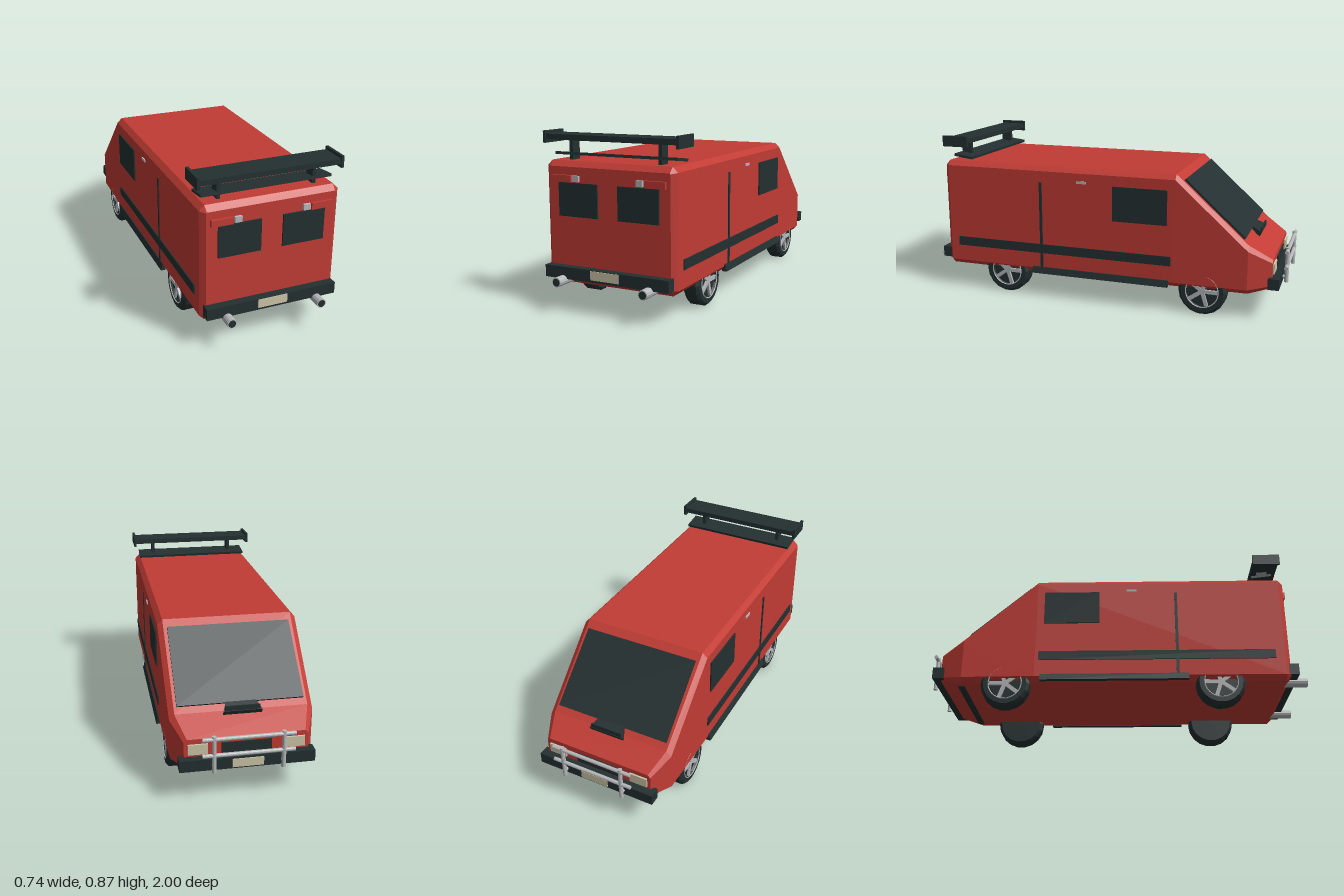
import * as THREE from 'three';

const mat = (name, color) => {
  const m = new THREE.MeshStandardMaterial({ color, flatShading: true });
  m.name = name;
  return m;
};

export function createModel() {
  const red = mat('red paint', 0xc23c35);
  const dark = mat('dark trim', 0x243031);
  const silver = mat('silver metal', 0xb6b8b9);
  const cream = mat('cream lamps and plates', 0xcfc7a8);
  const van = new THREE.Group();
  van.name = 'van';

  const add = (name, geo, material, x = 0, y = 0, z = 0, parent = van) => {
    const m = new THREE.Mesh(geo, material);
    m.name = name;
    m.position.set(x, y, z);
    parent.add(m);
    return m;
  };
  // Box given by its extents
  const box = (name, material, x0, x1, y0, y1, z0, z1) =>
    add(name, new THREE.BoxGeometry(x1 - x0, y1 - y0, z1 - z0), material,
      (x0 + x1) / 2, (y0 + y1) / 2, (z0 + z1) / 2);
  // The same box on both sides of the van
  const pair = (name, material, x0, x1, ...rest) => {
    box(name + 'Left', material, x0, x1, ...rest);
    box(name + 'Right', material, -x1, -x0, ...rest);
  };
  // Straight tube between two points
  const tube = (name, a, b, r, material = silver, sides = 12) => {
    const p = new THREE.Vector3(...a), q = new THREE.Vector3(...b);
    const m = add(name, new THREE.CylinderGeometry(r, r, p.distanceTo(q), sides), material);
    m.position.copy(p).add(q).multiplyScalar(0.5);
    m.quaternion.setFromUnitVectors(new THREE.Vector3(0, 1, 0), q.sub(p).normalize());
    return m;
  };

  // Body shell: chamfered cross-sections [z, half width, bottom, top, chamfer]
  const sections = [
    [0.9, 0.33, 0.16, 0.705, 0.004],
    [0.875, 0.355, 0.135, 0.732, 0.026],
    [-0.43, 0.355, 0.135, 0.732, 0.026],
    [-0.81, 0.35, 0.135, 0.39, 0.026],
    [-0.928, 0.298, 0.165, 0.315, 0.015],
  ];
  const pos = [], idx = [];
  for (const [z, w, b, t, c] of sections) {
    const ring = [[w, b + c], [w, t - c], [w - c, t], [c - w, t],
      [-w, t - c], [-w, b + c], [c - w, b], [w - c, b]];
    for (const [x, y] of ring) pos.push(x, y, z);
  }
  const last = (sections.length - 1) * 8;
  for (let s = 0; s < last; s += 8) {
    for (let i = 0; i < 8; i++) {
      const a = s + i, b = s + (i + 1) % 8;
      idx.push(a, a + 8, b, b, a + 8, b + 8);
    }
  }
  for (let i = 1; i < 7; i++) {
    idx.push(0, i, i + 1, last, last + i + 1, last + i);
  }
  const indexed = new THREE.BufferGeometry();
  indexed.setAttribute('position', new THREE.Float32BufferAttribute(pos, 3));
  indexed.setIndex(idx);
  const shell = indexed.toNonIndexed();
  shell.computeVertexNormals();
  add('body', shell, red);

  // Windscreen on the sloping front
  const slope = Math.atan2(0.342, 0.38);
  add('windscreen', new THREE.BoxGeometry(0.62, 0.016, 0.425), dark,
    0, 0.559, -0.627).rotation.x = -slope;

  // Bonnet scoop, wider toward the nose
  const scoop = new THREE.BoxGeometry(0.19, 0.024, 0.06);
  const sp = scoop.attributes.position;
  for (let i = 0; i < sp.count; i++) {
    if (sp.getZ(i) > 0) sp.setX(i, sp.getX(i) * 0.78);
  }
  scoop.computeVertexNormals();
  add('bonnetScoop', scoop, dark, 0, 0.402, -0.808).rotation.x = -0.45;
  box('scoopLip', dark, -0.085, 0.085, 0.398, 0.424, -0.838, -0.83);

  // Side windows, trim, handles and skirts
  pair('sideWindow', dark, 0.35, 0.362, 0.465, 0.65, -0.39, -0.095);
  pair('sideStripe', dark, 0.35, 0.361, 0.25, 0.3, -0.412, 0.825);
  pair('doorStrip', dark, 0.35, 0.36, 0.165, 0.645, 0.308, 0.323);
  pair('doorHandle', silver, 0.35, 0.361, 0.652, 0.665, 0.052, 0.105);
  for (const s of [1, -1]) {
    const profile = new THREE.Shape([[0.345, 0.135], [0.371, 0.135], [0.361, 0.17], [0.345, 0.17]]
      .map(([x, y]) => new THREE.Vector2(s * x, y)));
    add('sideSkirt', new THREE.ExtrudeGeometry(profile, { depth: 0.77, bevelEnabled: false }),
      dark, 0, 0, -0.4);
  }

  // Rear windows, lamps, bumper and plate
  pair('rearWindow', dark, 0.056, 0.273, 0.467, 0.63, 0.895, 0.909);
  pair('rearLamp', red, 0.2, 0.31, 0.632, 0.666, 0.89, 0.914);
  pair('reverseLamp', silver, 0.157, 0.193, 0.636, 0.665, 0.89, 0.914);
  box('rearBumper', dark, -0.34, 0.34, 0.166, 0.225, 0.885, 0.942);
  box('rearPlate', cream, -0.078, 0.076, 0.178, 0.222, 0.94, 0.946);

  // Exhaust pipes with dark openings
  for (const x of [-0.237, 0.237]) {
    tube('exhaust', [x, 0.16, 0.86], [x, 0.16, 0.998], 0.024);
    tube('exhaustOpening', [x, 0.16, 0.99], [x, 0.16, 1], 0.019, dark);
  }

  // Nose: bumper, plate, grille, headlamps and chin lip
  box('frontBumper', dark, -0.325, 0.325, 0.168, 0.226, -0.967, -0.91);
  box('frontPlate', cream, -0.075, 0.075, 0.176, 0.218, -0.972, -0.965);
  box('grille', dark, -0.12, 0.12, 0.236, 0.288, -0.935, -0.92);
  pair('headlamp', cream, 0.185, 0.28, 0.238, 0.29, -0.937, -0.92);
  box('chinLip', dark, -0.29, 0.29, 0.133, 0.15, -0.835, -0.8);

  // Bull bar
  for (const y of [0.255, 0.338]) tube('bullBarRail', [-0.22, y, -0.987], [0.22, y, -0.987], 0.01);
  for (const x of [-0.165, 0.165]) {
    tube('bullBarPost', [x, 0.166, -0.986], [x, 0.353, -0.986], 0.011);
    tube('bullBarMount', [x, 0.195, -0.96], [x, 0.195, -0.986], 0.009);
  }

  // Roof spoiler: lower blade, posts, wing and end plates
  add('lowerBlade', new THREE.BoxGeometry(0.67, 0.014, 0.11), dark, 0, 0.756, 0.79).rotation.x = -0.13;
  pair('spoilerPost', dark, 0.236, 0.254, 0.725, 0.84, 0.78, 0.838);
  box('wing', dark, -0.358, 0.358, 0.83, 0.857, 0.75, 0.888);
  pair('wingEndPlate', dark, 0.355, 0.369, 0.813, 0.872, 0.745, 0.893);

  // Wheels: recessed tyre, rim ring and five spokes
  const R = 0.127, h = 0.043;
  const tyre = new THREE.LatheGeometry([[0, -h], [R - 0.014, -h], [R, 0.014 - h], [R, h - 0.014],
    [R - 0.014, h], [0.089, h], [0.083, h - 0.014], [0, h - 0.014]]
    .map(([x, y]) => new THREE.Vector2(x, y)), 18);
  const rim = new THREE.TorusGeometry(0.086, 0.003, 4, 30).rotateX(Math.PI / 2);
  const spoke = new THREE.BoxGeometry(0.082, 0.014, 0.02).translate(0.041, 0, 0);
  for (const z of [0.535, -0.58]) {
    for (const s of [1, -1]) {
      const wheel = new THREE.Group();
      wheel.name = 'wheel';
      wheel.position.set(s * 0.307, R, z);
      wheel.rotation.z = -s * Math.PI / 2;
      add('tyre', tyre, dark, 0, 0, 0, wheel);
      add('rimRing', rim, silver, 0, h, 0, wheel);
      for (let i = 0; i < 5; i++) {
        add('spoke', spoke, silver, 0, h - 0.01, 0, wheel).rotation.y = i * Math.PI * 0.4 + 0.3;
      }
      van.add(wheel);
    }
  }
  return van;
}
